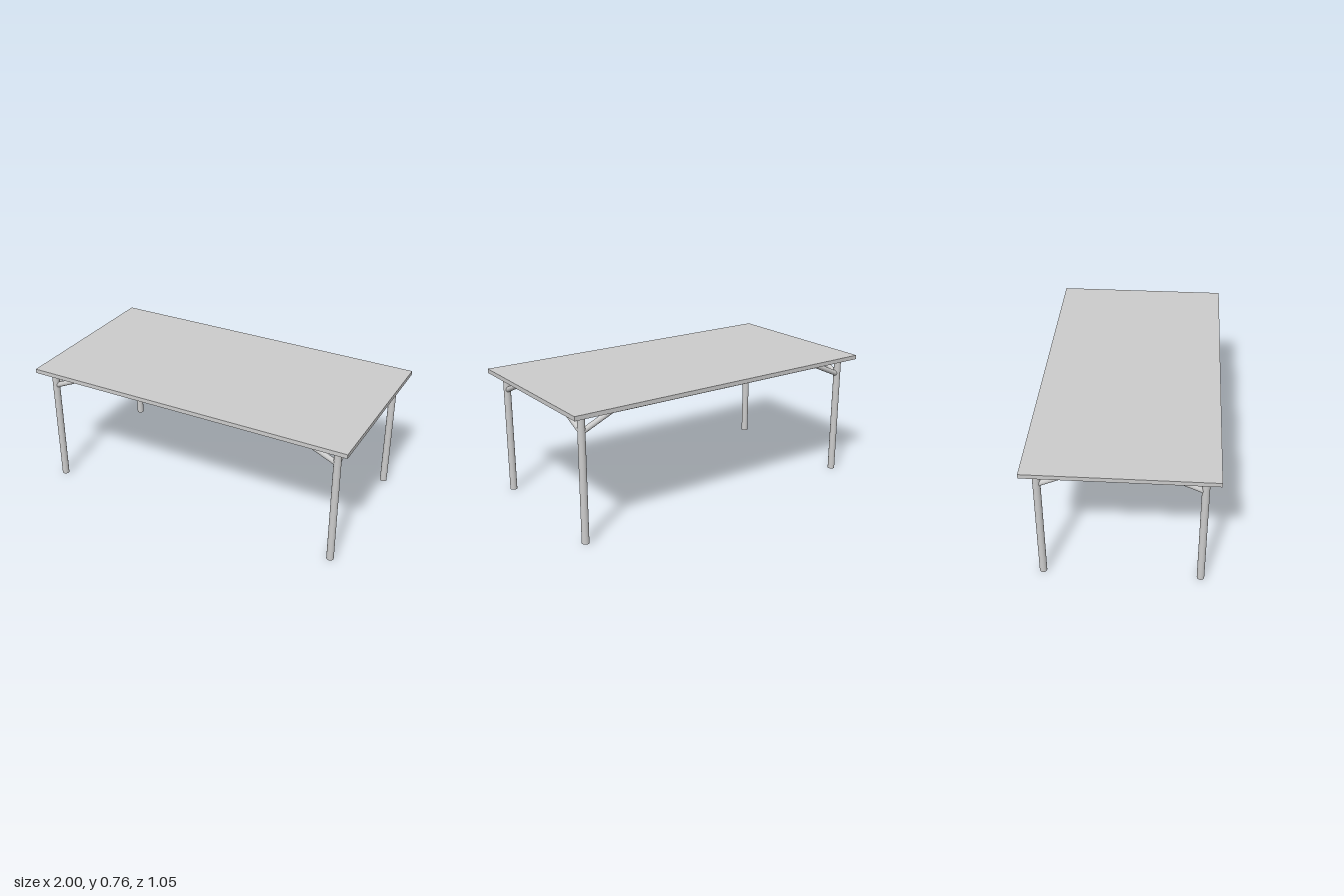
import * as THREE from 'three';

const TOP_Y = 0.763, UNDER_Y = 0.738;   // tabletop faces
const LEG_X = 0.92, LEG_Z = 0.444;      // leg centres
const LEG_R = 0.021, LEG_H = 0.724;
const TUBE_R = 0.0155;                  // rails and braces
const BRACE_RUN = 0.217;                // horizontal reach of a brace from the leg centre

export function createModel() {
  const group = new THREE.Group();
  const material = new THREE.MeshStandardMaterial({ color: 0xcccccc });

  const add = (name, geometry, x = 0, y = 0, z = 0) => {
    const mesh = new THREE.Mesh(geometry, material);
    mesh.name = name;
    mesh.position.set(x, y, z);
    group.add(mesh);
    return mesh;
  };

  // Straight round bar between two points
  const bar = (name, a, b, radius) => {
    const dir = b.clone().sub(a);
    const mesh = add(name, new THREE.CylinderGeometry(radius, radius, dir.length(), 24));
    mesh.position.copy(a).add(b).multiplyScalar(0.5);
    mesh.quaternion.setFromUnitVectors(new THREE.Vector3(0, 1, 0), dir.normalize());
  };
  const V = (x, y, z) => new THREE.Vector3(x, y, z);

  // Tabletop
  add('tabletop', new THREE.BoxGeometry(2, TOP_Y - UNDER_Y, 1.046), 0, (TOP_Y + UNDER_Y) / 2, 0);

  for (const sx of [-1, 1]) {
    for (const sz of [-1, 1]) {
      const x = sx * LEG_X, z = sz * LEG_Z;
      // Leg with a pin carrying the top
      add('leg', new THREE.CylinderGeometry(LEG_R, LEG_R, LEG_H, 32), x, LEG_H / 2, z);
      add('legPin', new THREE.CylinderGeometry(0.005, 0.005, 0.02, 12), x, LEG_H + 0.006, z);

      // Two sloping braces from the leg towards the rails
      const foot = V(x, 0.638, z);
      bar('longBrace', foot, V(x - sx * BRACE_RUN, 0.735, z), TUBE_R);
      bar('shortBrace', foot, V(x, 0.735, z - sz * BRACE_RUN), TUBE_R);
    }
  }

  // Rails under the top, joining the brace ends
  const railY = UNDER_Y - 0.016;
  const railX = LEG_X - 0.195, railZ = LEG_Z - 0.195;
  for (const s of [-1, 1]) {
    bar('longRail', V(-railX, railY, s * LEG_Z), V(railX, railY, s * LEG_Z), TUBE_R);
    bar('shortRail', V(s * LEG_X, railY, -railZ), V(s * LEG_X, railY, railZ), TUBE_R);
  }

  return group;
}
